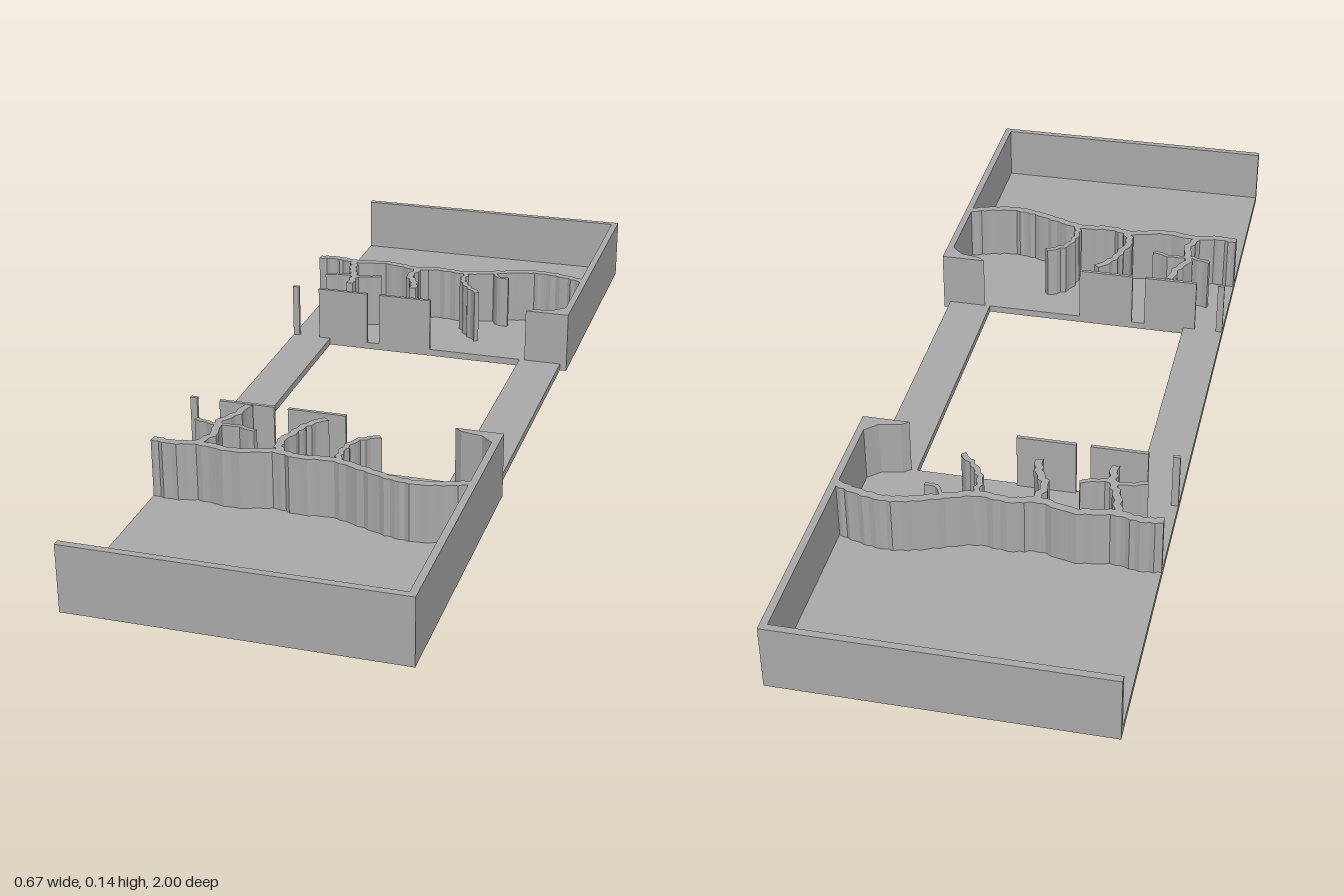
import * as THREE from 'three';

const H = 0.14, FLOOR = 0.016, X = 0.335, HOLE_Z = 0.33;

export function createModel() {
  const model = new THREE.Group();
  model.name = 'cutawayTray';
  const grey = new THREE.MeshStandardMaterial({ color: 0xaaaaaa });
  grey.name = 'plainGrey';

  const add = (parent, name, geometry) => {
    const mesh = new THREE.Mesh(geometry, grey);
    mesh.name = name;
    parent.add(mesh);
  };
  const box = (parent, name, x0, x1, y0, y1, z0, z1) => {
    const g = new THREE.BoxGeometry(x1 - x0, y1 - y0, Math.abs(z1 - z0));
    add(parent, name, g.translate((x0 + x1) / 2, (y0 + y1) / 2, (z0 + z1) / 2));
  };
  // Upright prism over a plan outline of [x, z] points
  const prism = (parent, name, outline, y0, y1) => {
    const shape = new THREE.Shape(outline.map(([x, z]) => new THREE.Vector2(x, -z)));
    const g = new THREE.ExtrudeGeometry(shape, { depth: y1 - y0, bevelEnabled: false });
    add(parent, name, g.rotateX(-Math.PI / 2).translate(0, y0, 0));
  };
  // Slightly ragged upright wall following a plan path
  const ribbonWall = (parent, name, path, side, width, steps, wobble) => {
    const curve = new THREE.CatmullRomCurve3(path.map(([x, z]) => new THREE.Vector3(x, 0, z * side)));
    const a = [], b = [];
    for (let i = 0; i <= steps; i++) {
      const p = curve.getPoint(i / steps), t = curve.getTangent(i / steps);
      const w = wobble * Math.sin(i * 2.4);
      const at = (d) => [
        THREE.MathUtils.clamp(p.x - t.z * d, -X, 0.325),
        p.z + t.x * d,
      ];
      a.push(at(width / 2 + w));
      b.unshift(at(-width / 2 + w));
    }
    prism(parent, name, [...a, ...b], FLOOR - 0.002, H);
  };

  // Floor: two end plates joined by narrow side strips
  const floor = new THREE.Shape([
    [-X, -1], [X, -1], [X, -HOLE_Z], [0.32, -HOLE_Z], [0.32, HOLE_Z], [X, HOLE_Z], [X, 1], [-X, 1],
  ].map(([x, y]) => new THREE.Vector2(x, y)));
  floor.holes.push(new THREE.Path([
    [-0.243, -HOLE_Z], [-0.243, HOLE_Z], [0.223, HOLE_Z], [0.223, -HOLE_Z],
  ].map(([x, y]) => new THREE.Vector2(x, y))));
  add(model, 'floor', new THREE.ExtrudeGeometry(floor, { depth: FLOOR, bevelEnabled: false })
    .rotateX(-Math.PI / 2));

  const wavy = [[-0.335, 0.543], [-0.29, 0.548], [-0.24, 0.538], [-0.16, 0.549], [-0.08, 0.53],
    [-0.03, 0.541], [0.04, 0.535], [0.11, 0.558], [0.17, 0.579], [0.22, 0.586], [0.28, 0.574], [0.325, 0.558]];
  // Partition paths for the front and back rooms
  const partitions = {
    front: [
      [[-0.243, 0.535], [-0.225, 0.49], [-0.235, 0.43], [-0.215, 0.39], [-0.205, 0.34]],
      [[-0.07, 0.53], [-0.085, 0.49], [-0.07, 0.43], [-0.06, 0.4], [-0.03, 0.36]],
      [[0.05, 0.535], [0.045, 0.49], [0.06, 0.44], [0.1, 0.41]],
    ],
    back: [
      [[-0.243, 0.535], [-0.23, 0.48], [-0.215, 0.44], [-0.21, 0.39]],
      [[-0.075, 0.53], [-0.085, 0.48], [-0.065, 0.44], [-0.055, 0.4]],
      [[0.045, 0.535], [0.045, 0.49], [0.065, 0.45], [0.1, 0.413]],
    ],
  };

  for (const [end, side] of [['front', 1], ['back', -1]]) {
    const room = new THREE.Group();
    room.name = end + 'Room';
    model.add(room);

    // Outer walls, open on the -x side
    box(room, 'endWall', -X, X, 0, H, side * 0.985, side);
    box(room, 'longWall', 0.32, X, 0, H, side * HOLE_Z, side * 0.986);

    // Wavy dividing wall and the partitions branching off it
    ribbonWall(room, 'wavyWall', wavy, side, 0.018, 56, 0.002);
    partitions[end].forEach((path, i) =>
      ribbonWall(room, 'partition' + (i + 1), path, side, i < 2 ? 0.016 : 0.012, 14, 0.003));
    ribbonWall(room, 'crossPartition',
      [[-0.285, 0.432], [-0.24, 0.445], [-0.19, 0.442], [-0.15, 0.455]], side, 0.01, 10, 0.002);
    if (side < 0) {
      ribbonWall(room, 'shortSpur', [[0.11, 0.55], [0.125, 0.527], [0.15, 0.525]], side, 0.008, 6, 0);
    }

    // Thin panels and a post standing on the edge of the opening
    const z0 = side * HOLE_Z, z1 = side * (HOLE_Z + 0.008);
    box(room, 'edgePanel', -0.27, -0.15, 0, H, z0, z1);
    box(room, 'edgePanel', -0.12, 0.005, 0, H, z0, z1);
    box(room, 'edgePost', -X, -0.32, 0, H, z0, z1);

    // Solid corner beside the long wall
    const corner = [[0.235, 0.33], [0.25, 0.343], [0.295, 0.352], [0.322, 0.378], [0.322, 0.33]];
    prism(room, 'cornerBlock', corner.map(([x, z]) => [x, z * side]), 0, H);
  }
  return model;
}
